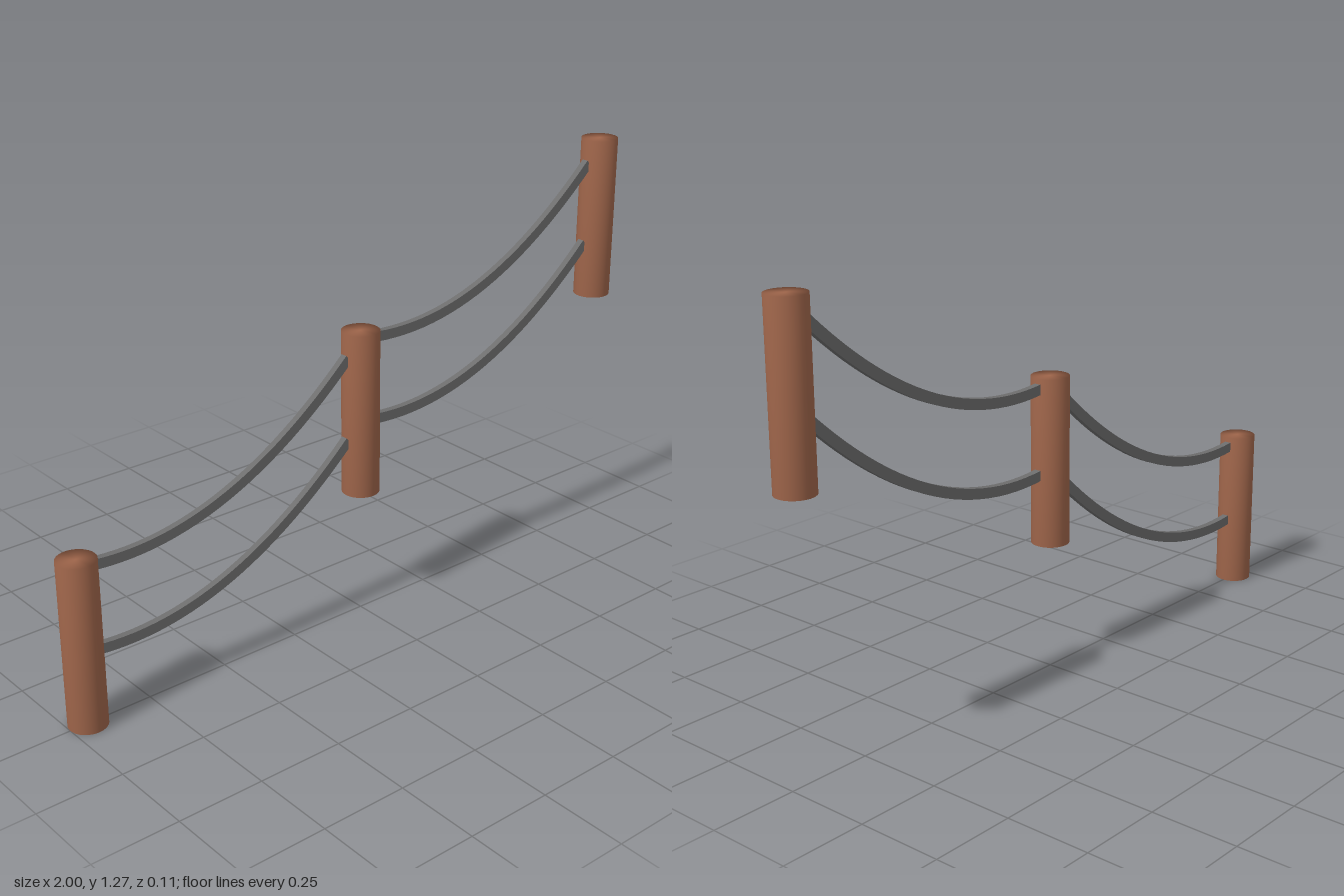
import * as THREE from 'three';
import { mergeVertices } from 'three/addons/utils/BufferGeometryUtils.js';

const SPACING = 0.945, RISE = 0.387, RADIUS = 0.055, HEIGHT = 0.492, SAG = 0.553;

// Post: cylinder with normals blended softly over the rims
function postGeometry() {
  const raw = new THREE.CylinderGeometry(RADIUS, RADIUS, HEIGHT, 32);
  raw.deleteAttribute('uv');
  raw.deleteAttribute('normal');
  const geo = mergeVertices(raw);
  geo.computeVertexNormals();
  return geo.translate(0, HEIGHT / 2, 0);
}

// Rail: sagging parabolic strap with a rectangular section, from post to post
function railGeometry() {
  const steps = 24, half = 0.015, depth = 0.02;
  const t0 = 0.05 / SPACING;
  const upper = [], lower = [];
  for (let i = 0; i <= steps; i++) {
    const t = t0 + (1 - 2 * t0) * i / steps;
    const y = RISE * t - SAG * t * (1 - t);
    const slope = (RISE - SAG * (1 - 2 * t)) / SPACING;
    const n = new THREE.Vector2(-slope, 1).normalize().multiplyScalar(half);
    const p = new THREE.Vector2(t * SPACING, y);
    upper.push(p.clone().add(n));
    lower.push(p.clone().sub(n));
  }
  const shape = new THREE.Shape([...lower, ...upper.reverse()]);
  return new THREE.ExtrudeGeometry(shape, { depth, bevelEnabled: false })
    .translate(0, 0, -depth / 2);
}

export function createModel() {
  const model = new THREE.Group();
  model.name = 'steppedFence';
  const wood = new THREE.MeshStandardMaterial({ color: 0xa0664b });
  wood.name = 'brown wood';
  const rope = new THREE.MeshStandardMaterial({ color: 0x6e6e6e });
  rope.name = 'grey rail';

  const add = (name, geo, mat, x, y) => {
    const mesh = new THREE.Mesh(geo, mat);
    mesh.name = name;
    mesh.position.set(x, y, 0);
    model.add(mesh);
  };

  // Three posts climbing towards +x
  const post = postGeometry();
  ['lowPost', 'middlePost', 'highPost'].forEach((name, i) =>
    add(name, post, wood, (i - 1) * SPACING, i * RISE));

  // Two rails in each of the two spans
  const rail = railGeometry();
  ['lowSpan', 'highSpan'].forEach((name, i) => {
    add(name + 'BottomRail', rail, rope, (i - 1) * SPACING, i * RISE + 0.22);
    add(name + 'TopRail', rail, rope, (i - 1) * SPACING, i * RISE + 0.47);
  });
  return model;
}
